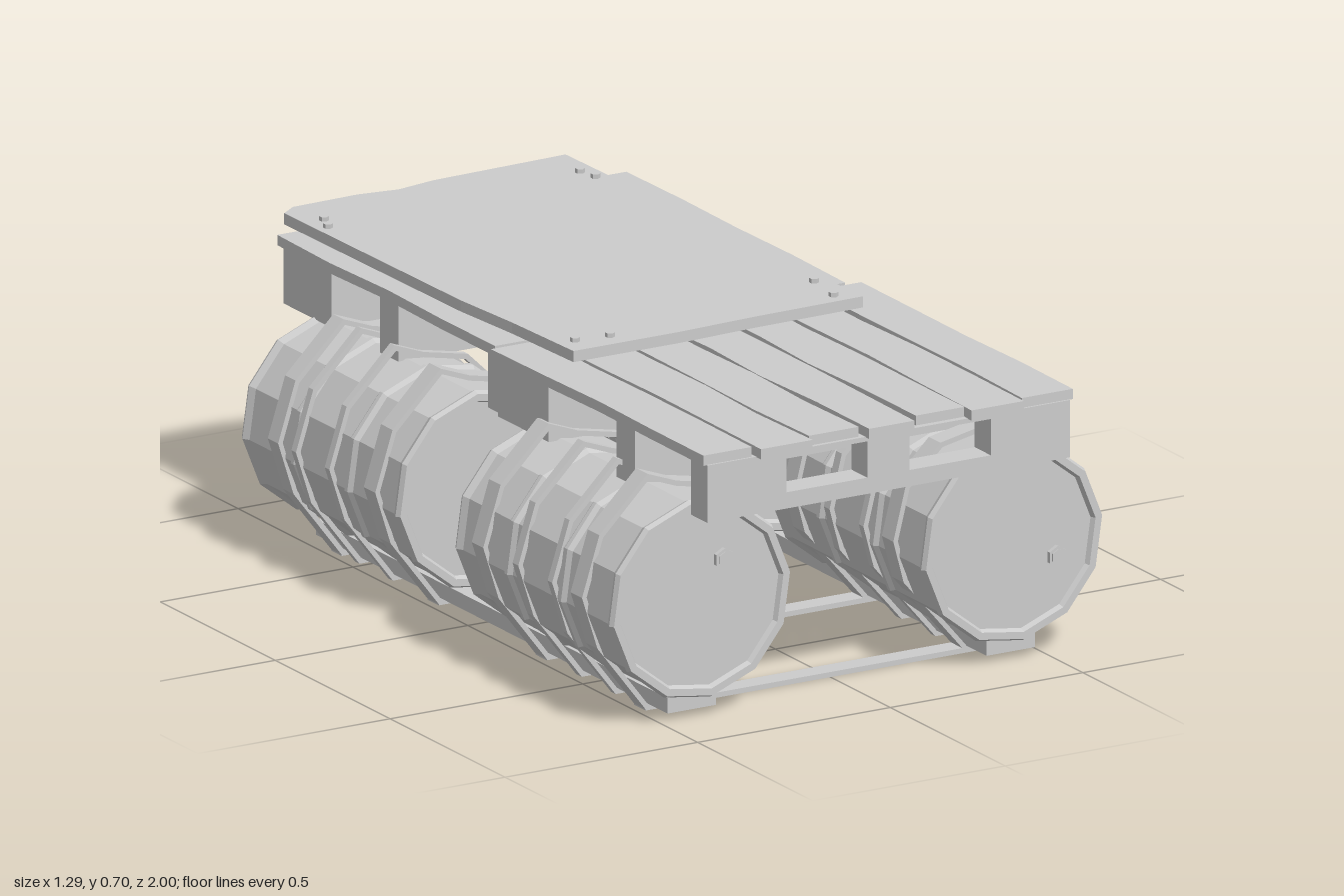
import * as THREE from 'three';

const mat = new THREE.MeshStandardMaterial({ color: 0xcccccc, flatShading: true, roughness: 0.9 });

let seed = 11;
const rnd = () => ((seed = (seed * 16807) % 2147483647) / 2147483647) * 2 - 1;

function add(parent, name, geo, x = 0, y = 0, z = 0) {
  const m = new THREE.Mesh(geo, mat);
  m.name = name;
  m.position.set(x, y, z);
  parent.add(m);
  return m;
}

// Box given by its limits on each axis
function block(parent, name, [x0, x1], [y0, y1], [z0, z1]) {
  return add(parent, name, new THREE.BoxGeometry(x1 - x0, y1 - y0, z1 - z0),
    (x0 + x1) / 2, (y0 + y1) / 2, (z0 + z1) / 2);
}

// Deck board with slightly worn, uneven long edges
function board(parent, x0, x1, z0, z1) {
  const n = 4, g = new THREE.BoxGeometry(x1 - x0, 0.024, z1 - z0, 1, 1, n);
  const p = g.attributes.position;
  const wear = Array.from({ length: n + 1 }, () => [rnd() * 0.006, rnd() * 0.006]);
  for (let i = 0; i < p.count; i++) {
    const k = Math.round((p.getZ(i) / (z1 - z0) + 0.5) * n);
    const right = p.getX(i) > 0;
    p.setX(i, p.getX(i) + wear[k][right ? 1 : 0]);
  }
  add(parent, 'deckBoard', g, (x0 + x1) / 2, 0.647, (z0 + z1) / 2);
}

// Pallet: lengthwise deck boards over three rows of blocks and cross boards
function pallet(name, left, width, zBack, zFront, rows) {
  const g = new THREE.Group();
  g.name = name;
  const count = 7, step = width / count;
  const ends = [0.025, 0, 0.03, 0.005, 0.035, 0.004, 0.025];
  for (let i = 0; i < count; i++) {
    const x = left + i * step;
    board(g, x + 0.005, x + step - 0.005, zBack + (i % 2) * 0.01, zFront - ends[i]);
  }
  const l = left + 0.012, r = left + width - 0.012, mid = (l + r) / 2;
  for (const row of rows) {
    block(g, 'bottomCrossBoard', [l, r], [0.502, 0.54], row);
    block(g, 'topCrossBoard', [l, r], [0.625, 0.636], row);
    for (const xs of [[l, l + 0.205], [mid - 0.055, mid + 0.055], [r - 0.205, r]])
      block(g, 'spacerBlock', xs, [0.535, 0.63], row);
  }
  return g;
}

// Twelve-sided drum with recessed ends, rolled rims and two ribs
function barrel(name, x, zBack, bungs) {
  const g = new THREE.Group();
  g.name = name;
  const L = 0.69, half = [[0, 0.012], [0.207, 0.012], [0.213, 0], [0.23, 0], [0.236, 0.012],
    [0.228, 0.03], [0.228, 0.21], [0.236, 0.222], [0.236, 0.234], [0.228, 0.246]];
  const profile = [...half, ...half.map(([r, t]) => [r, L - t]).reverse()];
  const geo = new THREE.LatheGeometry(profile.map(([r, t]) => new THREE.Vector2(r, t)), 12);
  geo.rotateX(Math.PI / 2).rotateZ(0.12);
  add(g, 'drum', geo, x, 0.28, zBack);
  for (const [bx, by, front] of bungs) {
    const z = front ? zBack + L - 0.008 : zBack + 0.008;
    const ring = new THREE.CylinderGeometry(0.025, 0.025, 0.014, 6).rotateX(Math.PI / 2);
    add(g, 'bungCap', ring, bx, by, z);
    const plug = new THREE.CylinderGeometry(0.018, 0.018, 0.02, 6).rotateX(Math.PI / 2);
    add(g, 'bungPlug', plug, bx, by, z);
  }
  return g;
}

// Strap loop around a drum and the runner below it, drawn up against the pallet
const loop = [[0.35, 0.003], [0.48, 0.003], [0.605, 0.165], [0.645, 0.29], [0.6, 0.43],
  [0.475, 0.553], [0.4, 0.525], [0.285, 0.502], [0.195, 0.415], [0.163, 0.29], [0.19, 0.19]];

function strapGeometry(width) {
  const outer = loop.map(([x, y]) => new THREE.Vector2(x, y));
  const c = new THREE.Vector2(0.405, 0.28);
  const shape = new THREE.Shape(outer);
  const inner = outer.map(p => p.clone().sub(c).multiplyScalar(0.95).add(c));
  shape.holes.push(new THREE.Path(inner.reverse()));
  return new THREE.ExtrudeGeometry(shape, { depth: width, bevelEnabled: false })
    .translate(0, 0, -width / 2);
}

export function createModel() {
  const model = new THREE.Group();
  model.name = 'raft';

  // Floats
  model.add(
    barrel('frontRightBarrel', -0.405, 0.17, [[-0.345, 0.365, true]]),
    barrel('frontLeftBarrel', 0.405, 0.17, [[0.52, 0.23, true]]),
    barrel('rearRightBarrel', -0.4, -0.768, []),
    barrel('rearLeftBarrel', 0.405, -0.768, [[0.33, 0.32, false]]));

  // Pallets
  model.add(
    pallet('frontPallet', -0.475, 0.965, 0.06, 1.0, [[0.07, 0.29], [0.585, 0.665], [0.91, 0.98]]),
    pallet('rearPallet', -0.46, 0.92, -0.905, 0.07, [[-0.89, -0.68], [-0.47, -0.39], [0, 0.055]]));

  // Runners under the drums
  for (const s of [-1, 1])
    add(model, 'runner', new THREE.BoxGeometry(0.125, 0.036, 1.53), s * 0.414, 0.035, 0.065);

  // Straps: wide ones also tie both sides together underneath
  const straps = [[0.715, 0.05], [0.6, 0.02], [0.45, 0.025], [0.285, 0.05],
    [-0.185, 0.05], [-0.37, 0.02], [-0.515, 0.02], [-0.605, 0.045]];
  for (const [z, w] of straps) {
    const geo = strapGeometry(w);
    add(model, 'leftStrap', geo, 0, 0, z);
    add(model, 'rightStrap', geo, 0, 0, z).rotation.y = Math.PI;
    if (w > 0.03) block(model, 'crossStrap', [-0.48, 0.48], [0, 0.012], [z - w / 2, z + w / 2]);
  }

  // Plywood panel with a broken edge; outline in x, z
  const outline = [[-0.41, -0.95], [-0.37, -0.98], [-0.2, -0.985], [-0.1, -0.97], [0, -0.988],
    [0.35, -1], [0.355, -0.78], [0.37, -0.7], [0.36, -0.3], [0.375, -0.1], [0.385, 0.235],
    [0.1, 0.24], [-0.1, 0.25], [-0.375, 0.25], [-0.385, 0], [-0.4, -0.2]];
  const sheet = new THREE.Shape(outline.map(([x, z]) => new THREE.Vector2(x, -z)));
  const sheetGeo = new THREE.ExtrudeGeometry(sheet, { depth: 0.026, bevelEnabled: false });
  add(model, 'plywoodPanel', sheetGeo.rotateX(-Math.PI / 2), 0, 0.664, 0);

  // Bolts
  const boltGeo = new THREE.CylinderGeometry(0.011, 0.011, 0.016, 6);
  for (const [x, z] of [[-0.36, -0.86], [-0.38, -0.81], [0.31, -0.87], [0.32, -0.82],
    [-0.335, 0.19], [-0.25, 0.2], [0.33, 0.2], [0.345, 0.09]])
    add(model, 'bolt', boltGeo, x, 0.692, z);

  return model;
}
